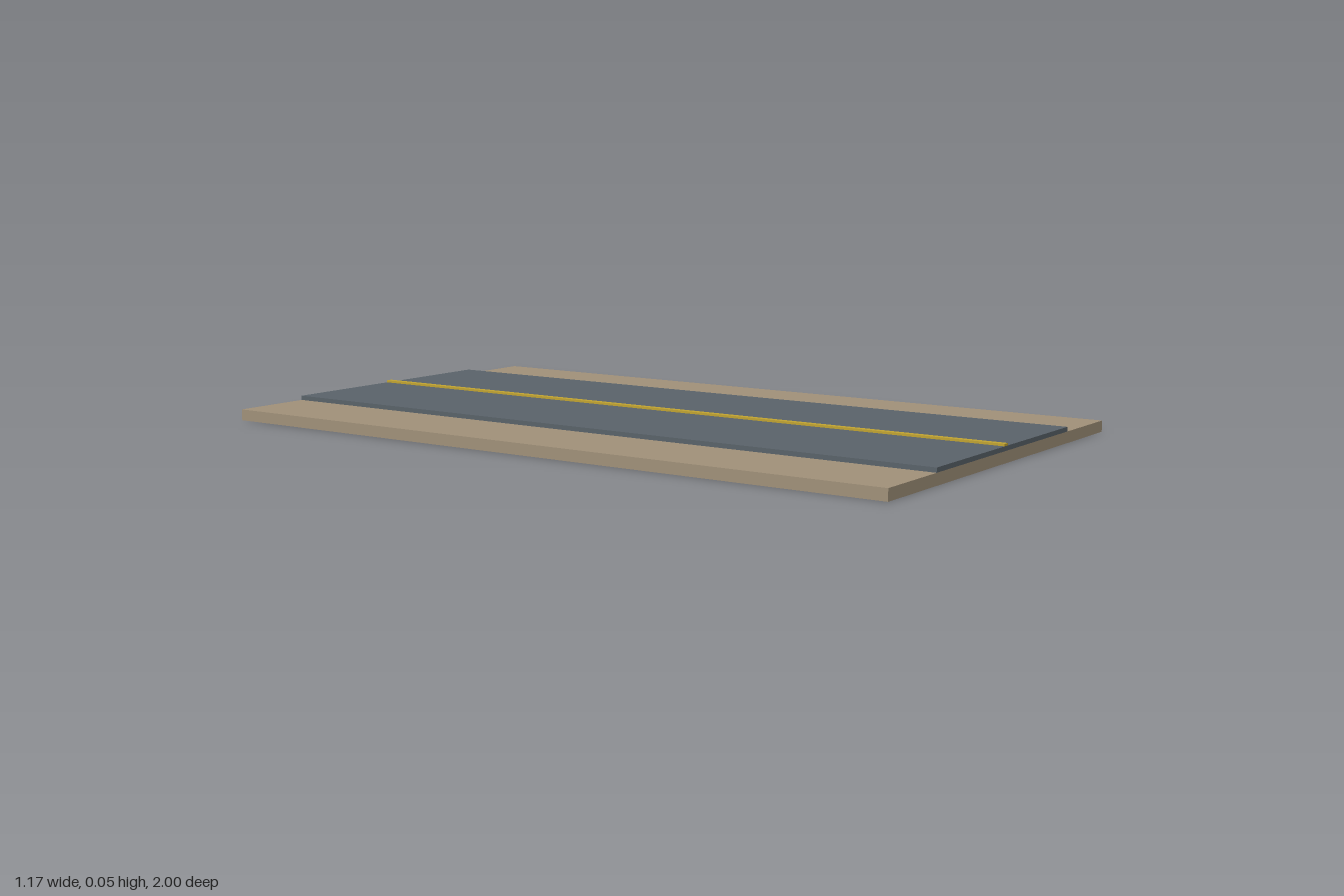
import * as THREE from 'three';

const LENGTH = 2;

// Full-length slab resting at height y0
function slab(name, width, y0, y1, color) {
  const mesh = new THREE.Mesh(
    new THREE.BoxGeometry(width, y1 - y0, LENGTH),
    new THREE.MeshStandardMaterial({ color })
  );
  mesh.name = name;
  mesh.position.y = (y0 + y1) / 2;
  return mesh;
}

export function createModel() {
  const road = new THREE.Group();
  road.name = 'roadSection';
  road.add(
    slab('groundBase', 1.166, 0, 0.03, 0xa3937b), // sandy verge on both sides
    slab('roadSurface', 0.717, 0.03, 0.042, 0x5b646b), // raised asphalt
    slab('centreLine', 0.018, 0.042, 0.048, 0xc4a632) // painted strip
  );
  return road;
}
